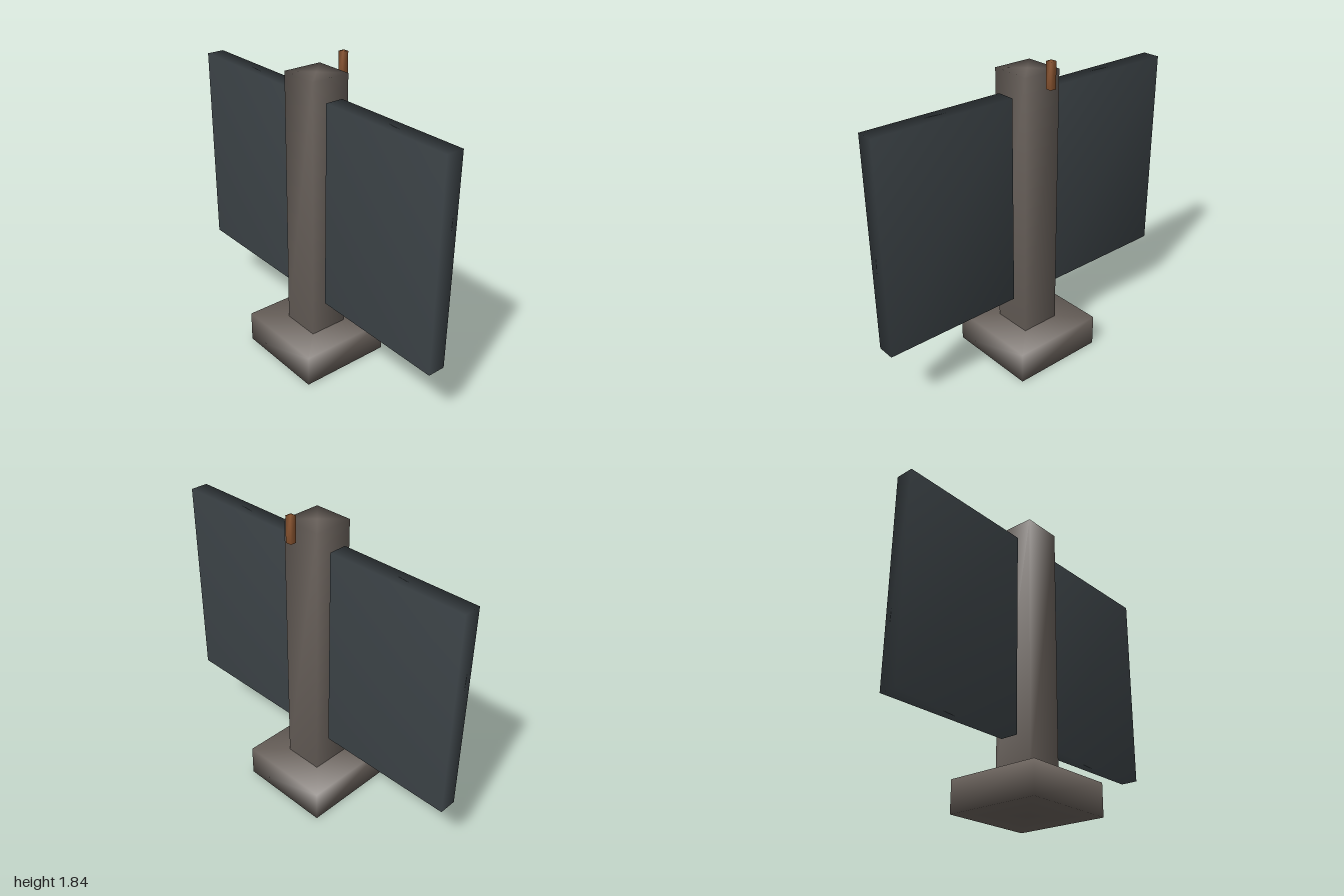
import * as THREE from 'three';
import { mergeVertices } from 'three/addons/utils/BufferGeometryUtils.js';

// Share corners so the normals run smoothly around the edges
function smooth(geometry) {
  geometry.deleteAttribute('normal');
  geometry.deleteAttribute('uv');
  const merged = mergeVertices(geometry, 1e-4);
  merged.computeVertexNormals();
  return merged;
}

// Square prism standing on y = bottom
function prism(width, bottom, top) {
  const r = width / Math.SQRT2;
  const geometry = new THREE.CylinderGeometry(r, r, top - bottom, 4);
  geometry.rotateY(Math.PI / 4).translate(0, (top + bottom) / 2, 0);
  return smooth(geometry);
}

export function createModel() {
  const model = new THREE.Group();
  model.name = 'panelPost';

  const stone = new THREE.MeshStandardMaterial({ color: 0x6a625c });
  const slate = new THREE.MeshStandardMaterial({ color: 0x3c4347 });
  const copper = new THREE.MeshStandardMaterial({ color: 0x8b5530 });

  function add(name, geometry, material) {
    const mesh = new THREE.Mesh(geometry, material);
    mesh.name = name;
    model.add(mesh);
    return mesh;
  }

  // Base and post
  add('base', prism(0.575, 0, 0.19), stone);
  add('post', prism(0.24, 0.19, 1.76), stone);

  // One panel in front of the post and one behind it
  for (const side of [1, -1]) {
    const panel = smooth(new THREE.BoxGeometry(0.108, 1.24, 0.85));
    add(side > 0 ? 'frontPanel' : 'backPanel', panel, slate).position.set(0, 1.02, side * 0.575);
  }

  // Small peg beside the top of the post
  add('peg', prism(0.037, 1.69, 1.84), copper).position.x = 0.186;

  return model;
}
